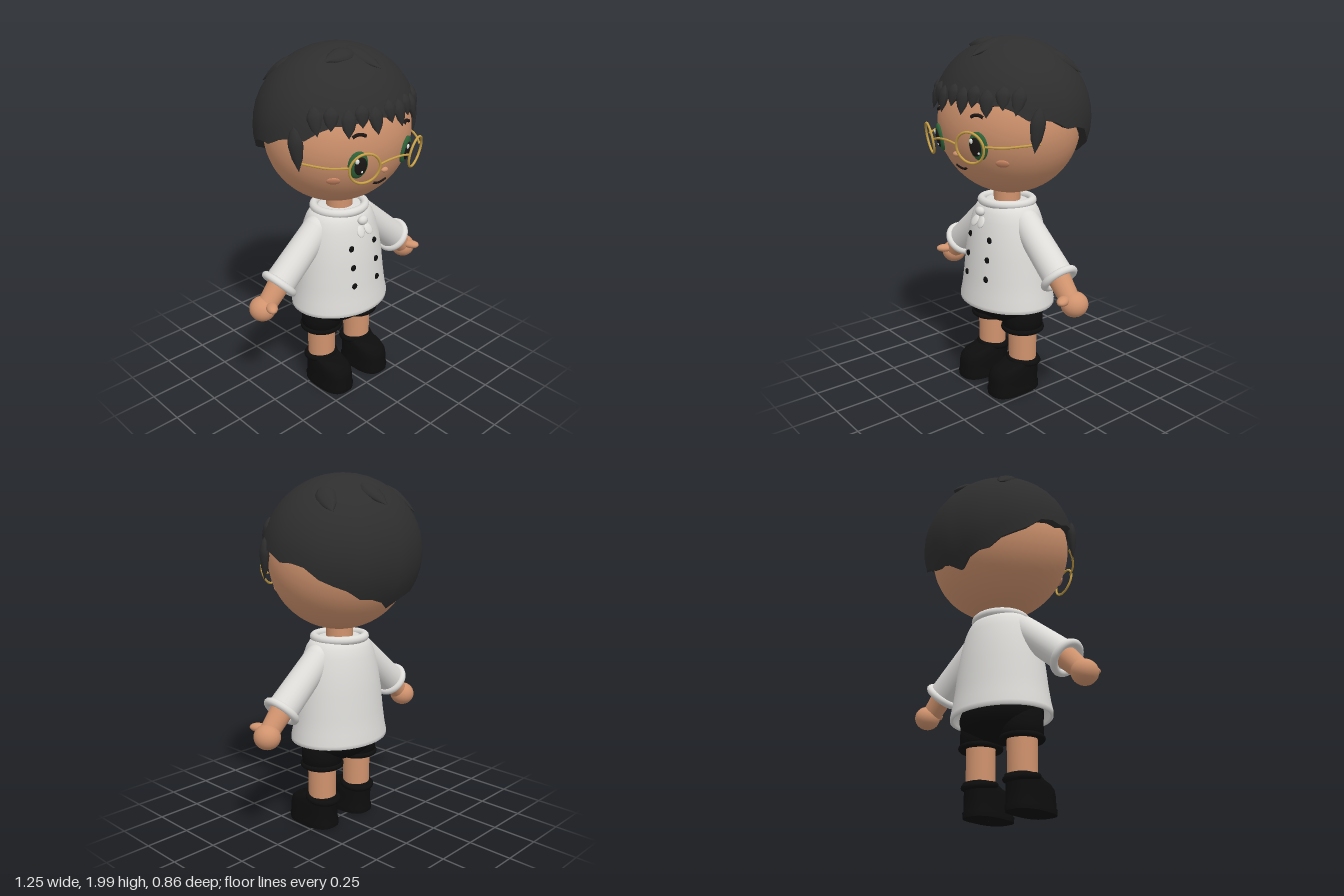
import * as THREE from 'three';

const V = (x, y, z) => new THREE.Vector3(x, y, z);
const mat = (name, color) => Object.assign(new THREE.MeshStandardMaterial({ color }), { name });

export function createModel() {
  const root = new THREE.Group();
  root.name = 'boy';
  const skin = mat('skin', 0xd0936e), blush = mat('blush', 0xc98563), hair = mat('hair', 0x2e2e2e),
    cloth = mat('whiteCloth', 0xdddcd9), black = mat('blackCloth', 0x0d0d0d), gold = mat('gold', 0xc79f45),
    green = mat('irisGreen', 0x2f6339), dark = mat('darkLine', 0x1c1716), white = mat('highlight', 0xe4e8e4);

  // ---- helpers ----
  const add = (name, geo, material, pos = V(0, 0, 0)) => {
    const m = new THREE.Mesh(geo, material);
    m.name = name;
    m.position.copy(pos);
    root.add(m);
    return m;
  };
  const ball = (name, material, pos, rx, ry = rx, rz = rx, seg = 24) => {
    const m = add(name, new THREE.SphereGeometry(1, seg, Math.ceil(seg * 0.7)), material, pos);
    m.scale.set(rx, ry, rz);
    return m;
  };
  const lathe = (name, pts, material, pos, seg = 32) =>
    add(name, new THREE.LatheGeometry(pts.map(p => new THREE.Vector2(...p)), seg), material, pos);
  const tube = (name, pts, r, material) =>
    add(name, new THREE.TubeGeometry(new THREE.CatmullRomCurve3(pts), 20, r, 8), material);
  const limb = (name, a, b, ra, rb, material) => {
    const d = b.clone().sub(a);
    const m = add(name, new THREE.CylinderGeometry(rb, ra, d.length(), 24), material, a.clone().lerp(b, 0.5));
    m.quaternion.setFromUnitVectors(V(0, 1, 0), d.normalize());
    return m;
  };
  const ring = (name, pos, r, t, normal, material) => {
    const m = add(name, new THREE.TorusGeometry(r, t, 12, 36), material, pos);
    m.quaternion.setFromUnitVectors(V(0, 0, 1), normal.clone().normalize());
    return m;
  };
  // closed rings of points joined into a skin
  const loft = rows => {
    const n = rows[0].length, idx = [];
    for (let i = 0; i < rows.length - 1; i++) for (let j = 0; j < n; j++) {
      const k = (j + 1) % n, a = i * n + j, b = i * n + k;
      idx.push(a, a + n, b, b, a + n, b + n);
    }
    const g = new THREE.BufferGeometry().setFromPoints(rows.flat());
    g.setIndex(idx);
    g.computeVertexNormals();
    return g;
  };

  // ---- head ----
  const HC = V(0, 1.535, 0), HR = V(0.417, 0.39, 0.37);
  const headNormal = p => p.clone().sub(HC).divide(HR).divide(HR).normalize();
  const onHead = (x, y, off = 0) => {
    const p = V(x, y, HR.z * Math.sqrt(1 - (x / HR.x) ** 2 - ((y - HC.y) / HR.y) ** 2));
    return p.addScaledVector(headNormal(p), off);
  };
  const facePatch = (name, material, x, y, off, rx, ry, rz) => {
    const n = headNormal(onHead(x, y));
    const m = ball(name, material, onHead(x, y, off), rx, ry, rz);
    m.rotation.set(-Math.asin(n.y), Math.atan2(n.x, n.z), 0, 'YXZ');
    return m;
  };
  ball('head', skin, HC, HR.x, HR.y, HR.z, 48);
  add('neck', new THREE.CylinderGeometry(0.075, 0.075, 0.16, 24), skin, V(0, 1.14, 0.01));
  facePatch('nose', skin, 0, 1.395, 0.002, 0.022, 0.014, 0.016);
  tube('mouth', [-0.048, -0.025, 0, 0.025, 0.048].map(x => onHead(x, 1.312 + 6 * x * x, 0.001)), 0.007, dark);

  for (const s of [1, -1]) {
    // eyes, brows and cheeks
    facePatch('iris', green, s * 0.173, 1.458, 0, 0.054, 0.077, 0.02);
    facePatch('pupil', dark, s * 0.165, 1.458, 0.016, 0.034, 0.051, 0.009);
    facePatch('eyeHighlight', white, s * 0.168 - 0.018, 1.487, 0.022, 0.011, 0.014, 0.006);
    facePatch('eyeGlint', white, s * 0.168 + 0.012, 1.43, 0.024, 0.006, 0.007, 0.004);
    tube('eyebrow', [0.135, 0.155, 0.175, 0.203].map((x, i) => onHead(s * x, [1.604, 1.613, 1.614, 1.603][i], 0.002)), 0.009, dark);
    facePatch('cheek', blush, s * 0.26, 1.37, 0, 0.036, 0.022, 0.009);
    // glasses
    const n = headNormal(onHead(s * 0.165, 1.465));
    ring('glassesRim', onHead(s * 0.163, 1.468, 0.06), 0.082, 0.0065, n, gold);
    tube('glassesTemple', [V(s * 0.26, 1.468, 0.352), V(s * 0.325, 1.465, 0.285), V(s * 0.375, 1.472, 0.21), V(s * 0.412, 1.478, 0.12)], 0.006, gold);
  }
  tube('glassesBridge', [V(-0.108, 1.465, 0.412), V(-0.05, 1.478, 0.422), V(0, 1.481, 0.425), V(0.05, 1.478, 0.422), V(0.108, 1.465, 0.412)], 0.006, gold);

  // ---- hair cap: ellipsoid cut along a hairline that drops toward the back ----
  const C = V(0, 1.57, -0.018), R = V(0.46, 0.42, 0.412);
  const line = [[0, 1.69], [35, 1.675], [60, 1.61], [90, 1.56], [114, 1.515], [130, 1.43], [155, 1.36], [180, 1.305]];
  const hairline = deg => {
    const i = Math.max(1, line.findIndex(p => p[0] >= deg)), [a, ya] = line[i - 1], [b, yb] = line[i];
    return ya + (yb - ya) * (deg - a) / (b - a);
  };
  const N = 36, M = 12;
  const capRow = (t, k = 1) => Array.from({ length: N }, (_, j) => {
    const deg = j * 360 / N, a = deg * Math.PI / 180;
    const y = hairline(deg > 180 ? 360 - deg : deg) + (j % 3 === 0 ? -0.012 : 0.008);
    const th = t * Math.acos((y - C.y) / R.y);
    return V(Math.sin(th) * Math.sin(a), Math.cos(th), Math.sin(th) * Math.cos(a)).multiply(R).multiplyScalar(k).add(C);
  });
  const rows = Array.from({ length: M + 1 }, (_, i) => capRow(i === 0 ? 0.001 : i / M));
  rows.push(capRow(1), capRow(1, 0.84)); // lip turned in against the head
  add('hairCap', loft(rows), hair);

  // pointed flattened locks
  const lock = (name, base, tip, w, t) => {
    const y = tip.clone().sub(base), len = y.length();
    y.normalize();
    const z = base.clone().lerp(tip, 0.5).sub(C).divide(R).divide(R);
    z.addScaledVector(y, -z.dot(y)).normalize();
    const x = y.clone().cross(z);
    const m = lathe(name, [[0, 0], [0.55, 0.1], [0.95, 0.28], [1, 0.42], [0.72, 0.7], [0, 1]], hair, base, 10);
    m.quaternion.setFromRotationMatrix(new THREE.Matrix4().makeBasis(x, y, z));
    m.scale.set(w, len, t);
  };
  const onHair = (x, y) => V(x, y, C.z + R.z * Math.sqrt(Math.max(0, 1 - (x / R.x) ** 2 - ((y - C.y) / R.y) ** 2)));
  const onTop = (x, z, up = 0) => V(x, C.y + R.y * Math.sqrt(1 - (x / R.x) ** 2 - ((z - C.z) / R.z) ** 2) + up, z);
  for (const [x, tipX, tipY] of [[-0.34, -0.355, 1.62], [-0.28, -0.305, 1.645], [-0.215, -0.235, 1.605], [-0.15, -0.165, 1.65],
    [-0.085, -0.082, 1.605], [0.005, 0.012, 1.645], [0.08, 0.092, 1.61], [0.15, 0.155, 1.65], [0.215, 0.238, 1.605],
    [0.28, 0.305, 1.645], [0.34, 0.355, 1.62]])
    lock('fringeLock', onHair(x, Math.min(1.76, tipY + 0.14)), onHair(tipX, tipY).add(V(0, 0, -0.005)), 0.04, 0.022);
  for (const s of [1, -1]) lock('sideLock', V(s * 0.425, 1.665, 0.14), V(s * 0.412, 1.435, 0.16), 0.04, 0.025);
  for (const [bx, bz, tx, tz, up] of [[0, 0.11, -0.2, 0.115, 0.015], [0, 0.04, 0.045, 0.275, 0.03], [0.06, -0.2, 0.04, -0.365, 0.035],
    [-0.2, -0.14, -0.26, -0.305, 0.025], [0.235, -0.09, 0.31, -0.245, 0.025]])
    lock('crownTuft', onTop(bx, bz, -0.005), onTop(tx, tz, up), 0.055, 0.024);

  // ---- shirt ----
  const shirt = lathe('shirt', [[0, 0.62], [0.25, 0.62], [0.276, 0.52], [0.288, 0.51], [0.299, 0.514], [0.3, 0.535], [0.288, 0.59],
    [0.275, 0.68], [0.262, 0.8], [0.243, 0.91], [0.22, 1], [0.2, 1.05], [0.175, 1.085], [0.12, 1.1], [0, 1.1]], cloth, V(0, 0, 0.012), 40);
  shirt.scale.z = 0.83;
  const collar = ring('collar', V(0, 1.097, 0.01), 0.147, 0.024, V(0, 1, 0), cloth);
  collar.scale.y = 0.95;
  for (const [y, r] of [[0.91, 0.243], [0.8, 0.262], [0.69, 0.274]]) for (const x of [-0.086, 0.086])
    ball('button', black, V(x, y, 0.012 + 0.83 * Math.sqrt(r * r - x * x)), 0.018, 0.018, 0.009, 16);
  ball('bowKnot', cloth, V(0, 1.057, 0.197), 0.032, 0.026, 0.024);
  for (const s of [1, -1]) {
    const tail = ball('bowTail', cloth, V(s * 0.028, 1.003, 0.212), 0.026, 0.034, 0.009);
    tail.rotation.set(-0.5, 0, s * 0.25);
  }

  // ---- arms ----
  for (const s of [1, -1]) {
    const P = (x, y, z = 0.01) => V(s * x, y, z);
    const shoulder = P(0.17, 0.995), cuff = P(0.445, 0.755), wrist = P(0.53, 0.665);
    ball('shoulder', cloth, shoulder, 0.08);
    limb('sleeve', shoulder, cuff, 0.08, 0.086, cloth);
    ring('sleeveCuff', cuff, 0.087, 0.021, cuff.clone().sub(shoulder), cloth);
    limb('forearm', cuff, wrist, 0.062, 0.054, skin);
    ball('hand', skin, P(0.556, 0.642, 0), 0.071, 0.068, 0.074);
    const thumb = ball('thumb', skin, P(0.55, 0.676, 0.075), 0.031, 0.024, 0.05);
    thumb.rotation.y = s * 0.5;
  }

  // ---- shorts, legs and boots ----
  ball('shortsHips', black, V(0, 0.52, 0.012), 0.255, 0.14, 0.185, 32);
  // boot layers: height, back z, front z, half width
  const layers = [[0, 0.07, 0.08, 0.002], [0, -0.078, 0.233, 0.096], [0, -0.078, 0.233, 0.096], [0.03, -0.08, 0.237, 0.098],
    [0.034, -0.074, 0.23, 0.092], [0.09, -0.074, 0.231, 0.092], [0.13, -0.075, 0.222, 0.09], [0.152, -0.077, 0.195, 0.086],
    [0.166, -0.079, 0.14, 0.084], [0.185, -0.08, 0.095, 0.083], [0.186, 0, 0.01, 0.002]];
  const sgnPow = v => Math.sign(v) * Math.abs(v) ** 0.75;
  const bootGeo = loft(layers.map(([y, b, f, w]) => Array.from({ length: 32 }, (_, j) => {
    const t = j / 32 * Math.PI * 2;
    return V(sgnPow(Math.cos(t)) * w, y, (b + f) / 2 + sgnPow(Math.sin(t)) * (f - b) / 2);
  })));
  for (const s of [1, -1]) {
    const x = s * 0.143;
    lathe('shortsLeg', [[0.08, 0.375], [0.112, 0.375], [0.114, 0.43], [0.111, 0.54], [0, 0.54]], black, V(x, 0, 0.01));
    ring('shortsCuff', V(x, 0.378, 0.01), 0.107, 0.016, V(0, 1, 0), black);
    add('leg', new THREE.CylinderGeometry(0.082, 0.078, 0.3, 28), skin, V(x, 0.3, 0.01));
    add('boot', bootGeo, black, V(x, 0.003, 0));
    ring('bootCuff', V(x, 0.172, 0.004), 0.083, 0.018, V(0, 1, -0.13), black);
  }
  return root;
}
